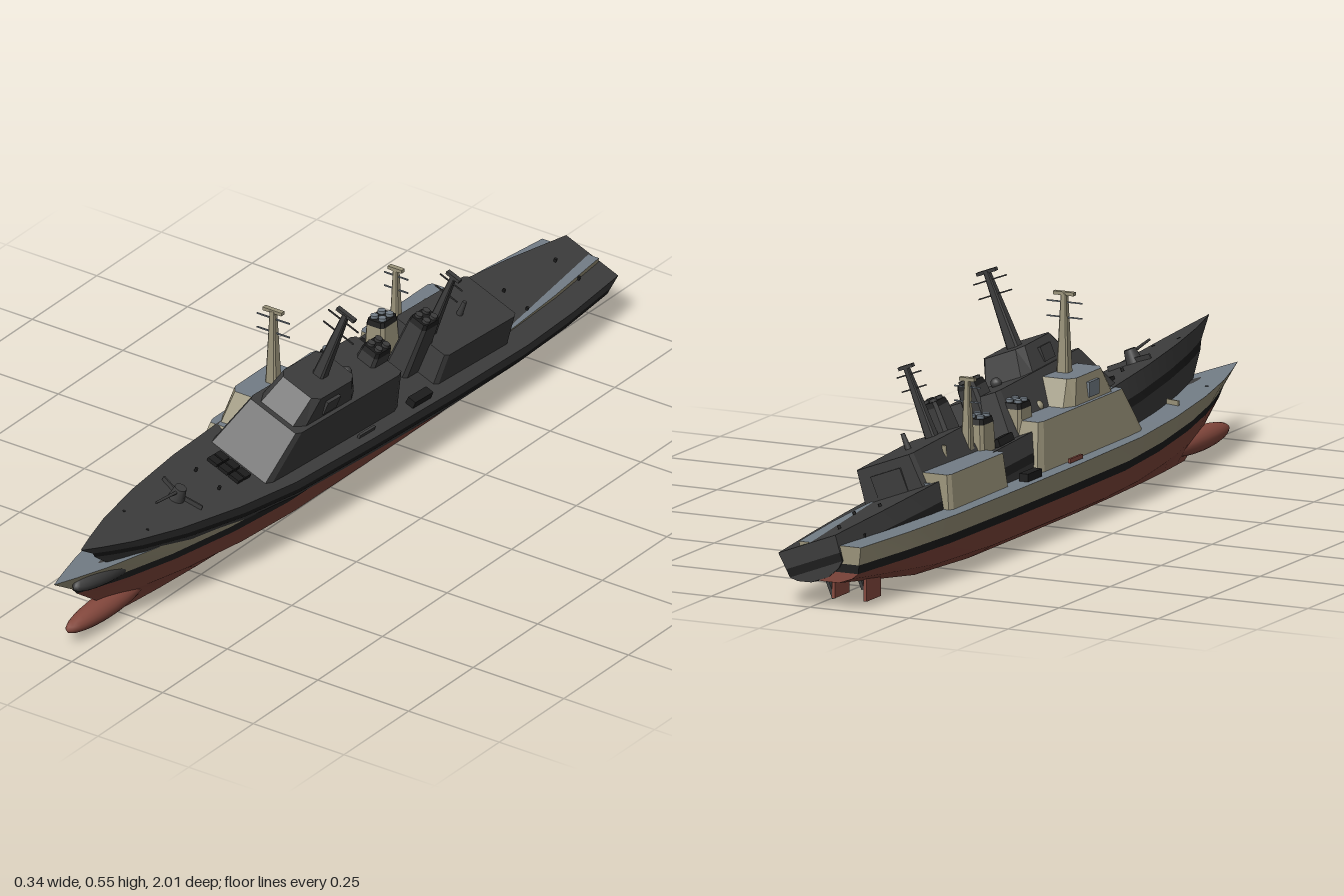
import * as THREE from 'three';

const flat = (name, color, side = THREE.FrontSide) =>
  Object.assign(new THREE.MeshStandardMaterial({ color, side }), { name });

// Skin stretched between two rows of points
function skin(a, b) {
  const pos = [], index = [], n = a.length;
  [...a, ...b].forEach(p => pos.push(...p));
  for (let i = 0; i < n - 1; i++) index.push(i, i + 1, n + i, i + 1, n + i + 1, n + i);
  const g = new THREE.BufferGeometry();
  g.setAttribute('position', new THREE.Float32BufferAttribute(pos, 3));
  g.setIndex(index);
  g.computeVertexNormals();
  return g;
}

// Chamfered block that tapers from a bottom outline to a top outline
// bottom and top are [halfWidth, zBack, zFront]
function taperBlock(y0, y1, bottom, top, chamfer) {
  const k = 1 - chamfer, s = new THREE.Shape();
  [[1, -k], [1, k], [k, 1], [-k, 1], [-1, k], [-1, -k], [-k, -1], [k, -1]]
    .forEach(([x, y], i) => (i ? s.lineTo(x, y) : s.moveTo(x, y)));
  const g = new THREE.ExtrudeGeometry(s, { depth: 1, bevelEnabled: false });
  g.rotateX(-Math.PI / 2);
  const p = g.attributes.position;
  for (let i = 0; i < p.count; i++) {
    const t = p.getY(i), mix = j => THREE.MathUtils.lerp(bottom[j], top[j], t);
    const zm = (mix(1) + mix(2)) / 2, zh = (mix(2) - mix(1)) / 2;
    p.setXYZ(i, p.getX(i) * mix(0), THREE.MathUtils.lerp(y0, y1, t), zm + p.getZ(i) * zh);
  }
  g.computeVertexNormals();
  return g;
}

function createShip(m) {
  const ship = new THREE.Group();
  const add = (name, geo, mat, x = 0, y = 0, z = 0) => {
    const mesh = new THREE.Mesh(geo, mat);
    mesh.name = name;
    mesh.position.set(x, y, z);
    ship.add(mesh);
    return mesh;
  };
  const box = (name, w, h, d, mat, x, y, z) => add(name, new THREE.BoxGeometry(w, h, d), mat, x, y, z);

  // Hull: each level is a row running from stern to stem
  const stations = [-1, -0.8, -0.6, -0.3, 0, 0.3, 0.5, 0.7, 0.85, 0.94, 1];
  const beam = [0.65, 0.84, 0.96, 1, 1, 0.97, 0.84, 0.62, 0.37, 0.16, 0];
  const rise = (z, from, amount) => amount * Math.max(0, (z - from) / (1 - from)) ** 1.5;
  const lift = z => Math.max(0, (-z - 0.5) / 0.5);
  const levels = [ // half beam, stem z, height
    [0.12, 1, z => 0.15 + rise(z, 0.2, 0.027) - 0.004 * lift(z)],
    [0.113, 0.93, z => 0.105 + rise(z, 0.3, 0.03)],
    [0.11, 0.91, z => 0.085 + rise(z, 0.3, 0.03)],
    [0.086, 0.83, z => 0.03 + 0.042 * lift(z) + rise(z, 0.4, 0.03)],
    [0.036, 0.74, z => 0.06 * lift(z)],
    [0, 0.72, z => 0.06 * lift(z)],
  ];
  const row = (l, side) => stations.map((z, i) => {
    const [w, stem, y] = levels[l];
    return [side * w * beam[i], y(z), -1 + (z + 1) * (stem + 1) / 2];
  });
  const bands = [['topsides', m.hull], ['bootStripe', m.stripe], ['lowerHull', m.bottom],
    ['bilge', m.bottom], ['keel', m.bottom]];
  bands.forEach(([name, mat], l) => {
    const [r0, r1, l0, l1] = [row(l, 1), row(l + 1, 1), row(l, -1), row(l + 1, -1)];
    add(name + 'Left', skin(r0, r1), mat);
    add(name + 'Right', skin(l1, l0), mat);
    add(name + 'Transom', skin([l0[0], r0[0]], [l1[0], r1[0]]), mat);
  });
  add('deck', skin(row(0, -1), row(0, 1)), m.deck);

  // Bulbous bow and rudders
  const bulb = add('bulb', new THREE.SphereGeometry(1, 20, 12), m.bottom, 0, 0.037, 0.8);
  bulb.scale.set(0.03, 0.028, 0.15);
  for (const s of [-1, 1]) box('rudder', 0.008, 0.075, 0.07, m.bottom, s * 0.04, 0.038, -0.87);

  // Superstructure, bridge and hangar
  const block = (name, ...args) => add(name, taperBlock(...args), [m.deck, m.hull]);
  block('superstructure', 0.145, 0.26, [0.088, -0.14, 0.38], [0.073, -0.11, 0.3], 0.08);
  block('bridge', 0.26, 0.32, [0.064, 0.05, 0.285], [0.056, 0.08, 0.24], 0.25);
  block('hangar', 0.14, 0.228, [0.086, -0.57, -0.28], [0.077, -0.565, -0.29], 0.08);
  box('hangarDoor', 0.08, 0.055, 0.006, m.deck, 0, 0.178, -0.569);
  for (const s of [-1, 1]) {
    box('radarPanel', 0.008, 0.035, 0.05, m.deck, s * 0.062, 0.285, 0.17);
    box('deckLauncher', 0.022, 0.018, 0.07, m.stripe, s * 0.095, 0.16, -0.2);
    box('sideRail', 0.006, 0.01, 0.06, m.bottom, s * 0.1, 0.157, 0.01);
  }

  // Funnels with four exhaust pipes each
  for (const [z, base] of [[-0.085, 0.15], [-0.27, 0.145]]) {
    block('funnel', base, 0.285, [0.032, z - 0.04, z + 0.04], [0.025, z - 0.032, z + 0.032], 0.25);
    add('funnelCap', taperBlock(0.285, 0.298, [0.025, z - 0.032, z + 0.032], [0.022, z - 0.029, z + 0.029], 0.25), m.stripe);
    for (const sx of [-1, 1]) for (const sz of [-1, 1])
      add('exhaustPipe', new THREE.CylinderGeometry(0.009, 0.009, 0.012, 12), m.deck, sx * 0.011, 0.299, z + sz * 0.014);
  }

  // Masts with spars and a radar bar on top
  const mast = (z, y0, y1, r0, r1, barWidth, spars) => {
    add('mast', taperBlock(y0, y1, [r0, z - r0, z + r0], [r1, z - r1, z + r1], 0.3), m.hull);
    box('radarBar', barWidth, 0.008, 0.012, m.hull, 0, y1, z);
    for (const [y, w] of spars) box('spar', w, 0.003, 0.003, m.deck, 0, y, z);
  };
  mast(0.15, 0.315, 0.5, 0.015, 0.007, 0.052, [[0.48, 0.09], [0.445, 0.09]]);
  mast(-0.325, 0.225, 0.395, 0.013, 0.006, 0.038, [[0.377, 0.066], [0.343, 0.066]]);
  add('hangarPost', new THREE.CylinderGeometry(0.005, 0.008, 0.04, 10), m.hull, 0, 0.245, -0.44);
  add('dome', new THREE.SphereGeometry(0.013, 14, 10), m.hull, 0, 0.266, 0.02);

  // Foredeck gun, breakwater, launch cells and bollards
  add('gunTurret', new THREE.CylinderGeometry(0.014, 0.02, 0.034, 12), m.hull, 0, 0.175, 0.62);
  const barrel = add('gunBarrel', new THREE.CylinderGeometry(0.003, 0.004, 0.09, 8), m.hull, 0, 0.186, 0.67);
  barrel.rotation.x = Math.PI / 2 - 0.08;
  for (const s of [-1, 1]) {
    const wall = box('breakwater', 0.06, 0.014, 0.004, m.hull, s * 0.029, 0.164, 0.605);
    wall.rotation.y = s * 0.25;
    for (const z of [-0.9, -0.7, 0.5, 0.78])
      add('bollard', new THREE.CylinderGeometry(0.004, 0.004, 0.008, 8), m.stripe, s * 0.035, z > 0 ? 0.164 : 0.151, z);
  }
  for (const x of [-0.032, 0, 0.032]) for (const z of [0.402, 0.428])
    box('launchCell', 0.028, 0.014, 0.022, m.stripe, x, 0.156, z);
  return ship;
}

export function createModel() {
  const black = flat('black', 0x1d1d1d);
  const charcoal = flat('charcoal', 0x3d3d3d);
  const group = new THREE.Group();

  // Upright painted ship
  const painted = createShip({
    hull: flat('tan', 0x9a937a), stripe: black,
    bottom: flat('rust red', 0x84483d), deck: flat('deck grey', 0x737d86),
  });
  painted.name = 'paintedShip';
  painted.position.x = -0.05;

  // Same ship in charcoal, heeled over with the bow raised
  const dark = createShip({ hull: charcoal, stripe: black, bottom: charcoal, deck: charcoal });
  dark.name = 'darkShip';
  dark.rotation.set(-0.055, 0, -0.367);
  dark.position.set(-0.047, 0.062, 0);

  group.add(painted, dark);
  return group;
}
